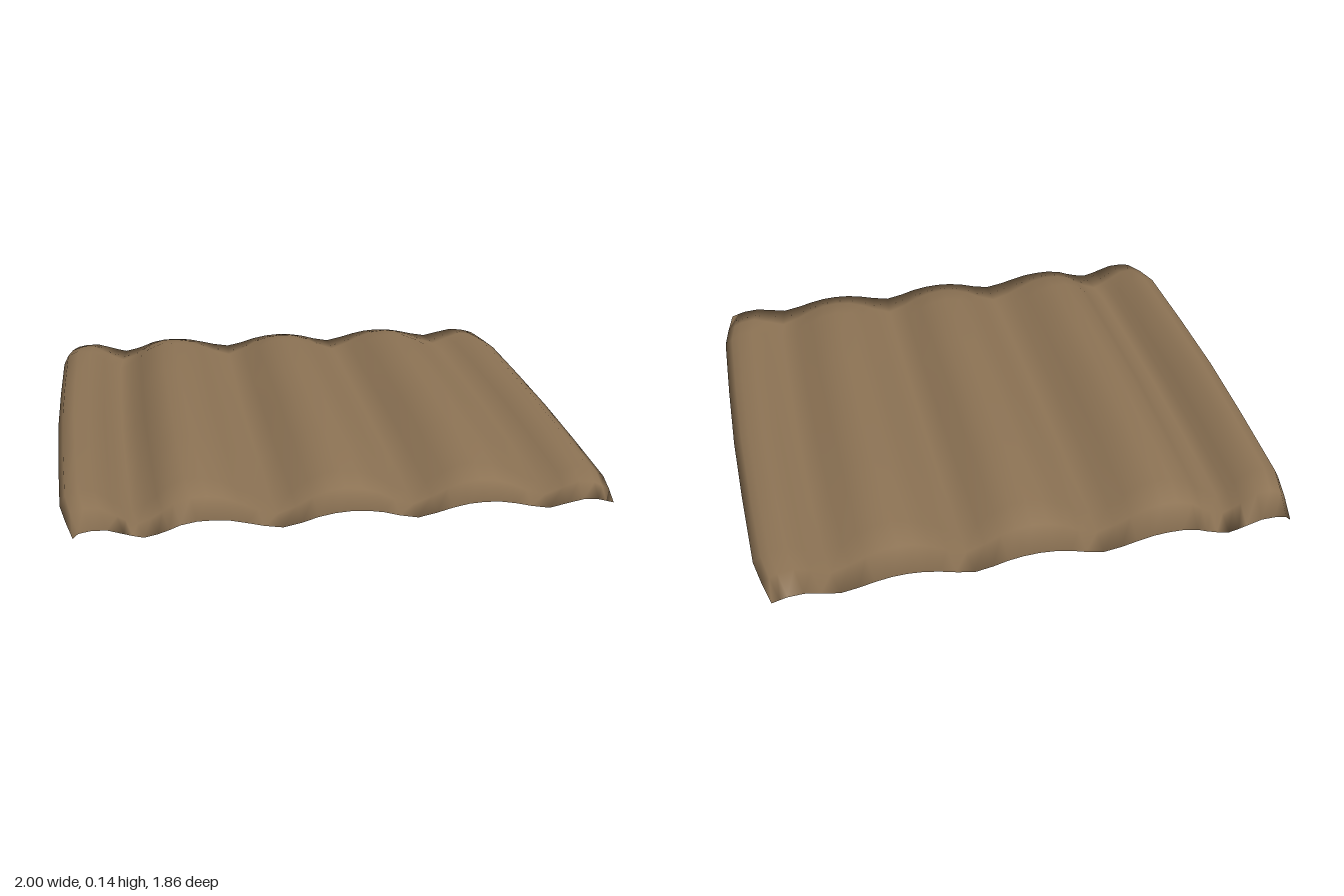
import * as THREE from 'three';

// Padded top across the width: [x, y], valleys between five rolls
const TOP = [
  [-1, 0.055], [-0.98, 0.1], [-0.935, 0.12], [-0.88, 0.115], [-0.82, 0.065], [-0.79, 0.04], [-0.75, 0.014],
  [-0.7, 0.04], [-0.66, 0.072], [-0.62, 0.112], [-0.56, 0.138], [-0.5, 0.138], [-0.44, 0.122], [-0.38, 0.085],
  [-0.32, 0.045], [-0.25, 0.014], [-0.18, 0.05], [-0.12, 0.095], [-0.06, 0.122], [0, 0.131], [0.06, 0.122],
  [0.12, 0.095], [0.18, 0.05], [0.25, 0.014], [0.32, 0.05], [0.38, 0.09], [0.44, 0.118], [0.5, 0.126],
  [0.56, 0.117], [0.62, 0.088], [0.68, 0.048], [0.75, 0.014], [0.82, 0.05], [0.88, 0.078], [0.94, 0.066],
  [0.97, 0.045], [1, 0.02],
];
// Flat underside, right to left
const BOTTOM = [
  [0.98, 0.006], [0.94, 0], [0.82, 0], [0.75, 0], [0.62, 0], [0.5, 0], [0.38, 0], [0.25, 0], [0.12, 0], [0, 0],
  [-0.12, 0], [-0.25, 0], [-0.38, 0], [-0.5, 0], [-0.62, 0], [-0.75, 0], [-0.82, 0], [-0.94, 0], [-0.98, 0.018],
];
// Lengthwise stations: z, width scale, height scale, lift, pinch (1 = sheets meet at the end seam)
const STATIONS = [
  [-0.93, 0.94, 1, 0, 1], [-0.82, 0.965, 0.95, 0.004, 0.45], [-0.71, 0.985, 0.88, 0.005, 0], [-0.35, 0.995, 0.95, 0.002, 0],
  [0, 1, 1, 0, 0], [0.35, 0.995, 0.95, 0.002, 0], [0.71, 0.985, 0.88, 0.005, 0], [0.82, 0.965, 0.95, 0.004, 0.45],
  [0.93, 0.94, 1, 0, 1],
];

// Height of the padded top at any x
function topAt(x) {
  for (let i = 1; i < TOP.length; i++) {
    const [x0, y0] = TOP[i - 1], [x1, y1] = TOP[i];
    if (x <= x1) return y0 + (y1 - y0) * (x - x0) / (x1 - x0);
  }
  return TOP[TOP.length - 1][1];
}

function quiltedPad() {
  // Underside repeats every top x so the two sheets close exactly at the seams
  const under = (x) => {
    for (let i = 1; i < BOTTOM.length; i++) {
      const [x0, y0] = BOTTOM[i - 1], [x1, y1] = BOTTOM[i];
      if (x <= x0 && x >= x1) return y0 + (y1 - y0) * (x - x0) / (x1 - x0);
    }
    return 0;
  };
  const lower = TOP.slice(1, -1).reverse().map(([x]) => [x, under(x)]);
  const ring = [...TOP, ...lower];
  const n = ring.length;
  const positions = [], indices = [];
  for (const [z, width, height, lift, pinch] of STATIONS) {
    for (const [x, y] of ring) {
      const seam = 0.018 + 0.37 * topAt(x);
      const open = y * height + lift;
      positions.push(x * width, open + (seam - open) * pinch, z);
    }
  }
  for (let s = 0; s < STATIONS.length - 1; s++) {
    for (let i = 0; i < n; i++) {
      const a = s * n + i, b = s * n + (i + 1) % n, c = a + n, d = b + n;
      indices.push(a, c, b, b, c, d);
    }
  }
  // Weld the end seams: lower points reuse the matching top points
  const weld = (k) => {
    const s = Math.floor(k / n), i = k % n;
    const isEnd = s === 0 || s === STATIONS.length - 1;
    return isEnd && i >= TOP.length ? s * n + (n - i) : k;
  };
  const geometry = new THREE.BufferGeometry();
  geometry.setAttribute('position', new THREE.Float32BufferAttribute(positions, 3));
  geometry.setIndex(indices.map(weld));
  geometry.computeVertexNormals();
  return geometry;
}

export function createModel() {
  const group = new THREE.Group();
  group.name = 'sleepingMat';
  const material = new THREE.MeshStandardMaterial({ color: 0x8f7556, side: THREE.DoubleSide });
  const pad = new THREE.Mesh(quiltedPad(), material);
  pad.name = 'quiltedPad';
  group.add(pad);
  return group;
}
